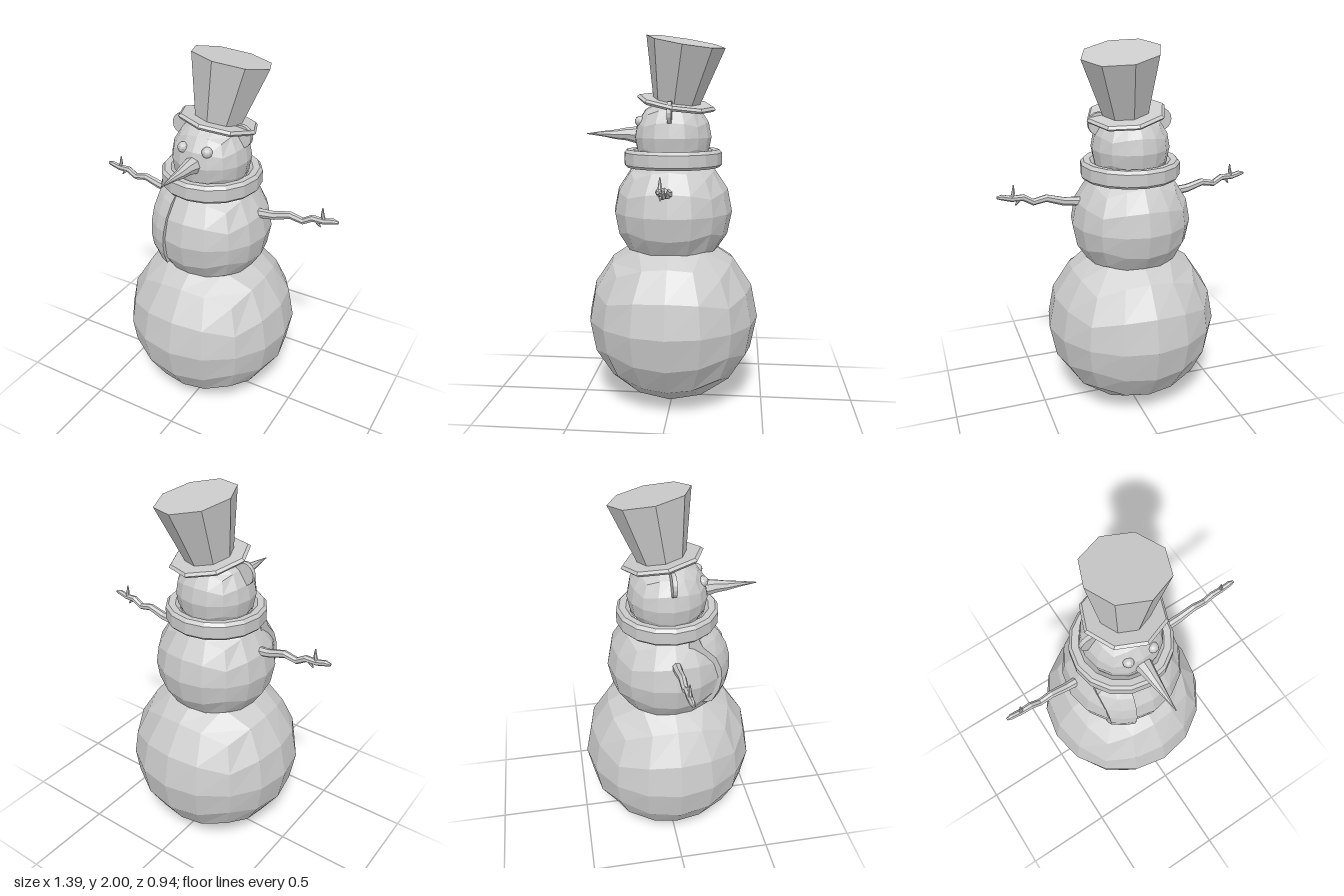
import * as THREE from 'three';

const CX = -0.017; // axis of the stacked body
const material = new THREE.MeshStandardMaterial({ color: 0xcccccc, flatShading: true });

export function createModel() {
  const model = new THREE.Group();
  const add = (name, geometry, x = 0, y = 0, z = 0, parent = model) => {
    const mesh = new THREE.Mesh(geometry, material);
    mesh.name = name;
    mesh.position.set(x, y, z);
    parent.add(mesh);
    return mesh;
  };

  // Snowballs and eyes
  add('lowerBall', quadSphere(0.47, 4), CX, 0.47);
  add('middleBall', quadSphere(0.323, 4), CX, 1.06);
  add('head', quadSphere(0.208, 4), CX, 1.46);
  for (const s of [-1, 1]) {
    add(s < 0 ? 'rightEye' : 'leftEye', new THREE.SphereGeometry(0.028, 12, 8), CX + s * 0.069, 1.545, 0.168);
    const ear = add(s < 0 ? 'rightEar' : 'leftEar', new THREE.CylinderGeometry(0.06, 0.06, 0.022, 16), CX + s * 0.168, 1.592, 0);
    ear.rotation.x = Math.PI / 2;
  }

  // Carrot nose
  add('nose', limb([
    [CX, 1.47, 0.15, 0.044], [CX, 1.47, 0.2, 0.045], [CX, 1.474, 0.25, 0.035],
    [CX, 1.472, 0.31, 0.026], [CX, 1.475, 0.38, 0.015], [CX, 1.475, 0.47, 0.002],
  ], 8));

  // Branch arms, each with a forked twig
  for (const s of [-1, 1]) {
    const arm = new THREE.Group();
    arm.name = s < 0 ? 'rightArm' : 'leftArm';
    model.add(arm);
    const flip = (rows) => rows.map(([x, y, z, r]) => [s * x, y, z, r]);
    add('branch', limb(flip([
      [0.25, 1.185, 0, 0.026], [0.35, 1.195, 0, 0.023], [0.44, 1.222, 0, 0.02], [0.51, 1.208, 0, 0.018],
      [0.56, 1.238, 0, 0.018], [0.62, 1.237, 0, 0.016], [0.67, 1.25, 0, 0.015], [0.695, 1.25, 0, 0.007],
    ]), 7), 0, 0, 0, arm);
    add('upperTwig', limb(flip([
      [0.62, 1.235, 0, 0.011], [0.61, 1.27, 0, 0.009], [0.608, 1.308, 0, 0.003],
    ]), 6), 0, 0, 0, arm);
    add('lowerTwig', limb(flip([
      [0.575, 1.235, 0, 0.011], [0.592, 1.215, 0, 0.008], [0.604, 1.2, 0, 0.003],
    ]), 6), 0, 0, 0, arm);
  }

  // Scarf ring and its hanging end
  const ring = [[0.19, 1.3], [0.252, 1.3], [0.265, 1.314], [0.265, 1.378], [0.25, 1.395], [0.215, 1.392], [0.19, 1.37], [0.19, 1.3]];
  add('scarf', lathe(ring, 16), CX);
  add('scarfEnd', scarfEnd());

  // Tilted hat
  const hat = new THREE.Group();
  hat.name = 'hat';
  hat.position.set(0.01, 1.64, -0.02);
  hat.quaternion.setFromUnitVectors(new THREE.Vector3(0, 1, 0), new THREE.Vector3(0.045, 0.32, -0.055).normalize());
  model.add(hat);
  add('brim', lathe([[0, -0.013], [0.2, -0.013], [0.213, 0], [0.2, 0.013], [0, 0.013]], 8), 0, 0, 0, hat);
  add('crown', new THREE.CylinderGeometry(0.208, 0.125, 0.315, 8), 0, 0.164, 0, hat);

  return model;
}

function lathe(profile, sides) {
  return new THREE.LatheGeometry(profile.map(([r, y]) => new THREE.Vector2(r, y)), sides);
}

// Cube grid pushed out to a sphere with equal angles
function quadSphere(radius, n) {
  const geometry = new THREE.BoxGeometry(2, 2, 2, n, n, n);
  const p = geometry.attributes.position;
  const v = new THREE.Vector3();
  const bend = (a) => Math.tan(a * Math.PI / 4);
  for (let i = 0; i < p.count; i++) {
    v.fromBufferAttribute(p, i);
    v.set(bend(v.x), bend(v.y), bend(v.z)).setLength(radius);
    p.setXYZ(i, v.x, v.y, v.z);
  }
  geometry.computeVertexNormals();
  return geometry;
}

// Cylinder bent along rows of [x, y, z, radius]
function limb(rows, sides) {
  const last = rows.length - 1;
  const points = rows.map(([x, y, z]) => new THREE.Vector3(x, y, z));
  const up = new THREE.Vector3(0, 1, 0);
  const turns = points.map((_, i) => {
    const along = points[Math.min(i + 1, last)].clone().sub(points[Math.max(i - 1, 0)]).normalize();
    return new THREE.Quaternion().setFromUnitVectors(up, along);
  });
  const geometry = new THREE.CylinderGeometry(1, 1, 1, sides, last);
  const p = geometry.attributes.position;
  const v = new THREE.Vector3();
  for (let i = 0; i < p.count; i++) {
    const row = Math.round((p.getY(i) + 0.5) * last);
    v.set(p.getX(i), 0, p.getZ(i)).multiplyScalar(rows[row][3]);
    v.applyQuaternion(turns[row]).add(points[row]);
    p.setXYZ(i, v.x, v.y, v.z);
  }
  geometry.computeVertexNormals();
  return geometry;
}

// Strip draped over the middle ball
function scarfEnd() {
  const geometry = new THREE.BoxGeometry(1, 1, 1, 2, 6, 1);
  const p = geometry.attributes.position;
  for (let i = 0; i < p.count; i++) {
    const t = p.getY(i) + 0.5;
    const y = 0.905 + t * 0.425;
    const left = -0.24 - 0.012 * t;
    const right = -0.133 + 0.035 * t * t;
    const x = left + (p.getX(i) + 0.5) * (right - left);
    const outer = p.getZ(i) > 0;
    const R = outer ? 0.338 : 0.3;
    const floor = outer ? 0.11 : 0.07;
    const z = Math.sqrt(Math.max(R * R - (x - CX) ** 2 - (y - 1.06) ** 2, floor * floor));
    p.setXYZ(i, x, y, z);
  }
  geometry.computeVertexNormals();
  return geometry;
}
